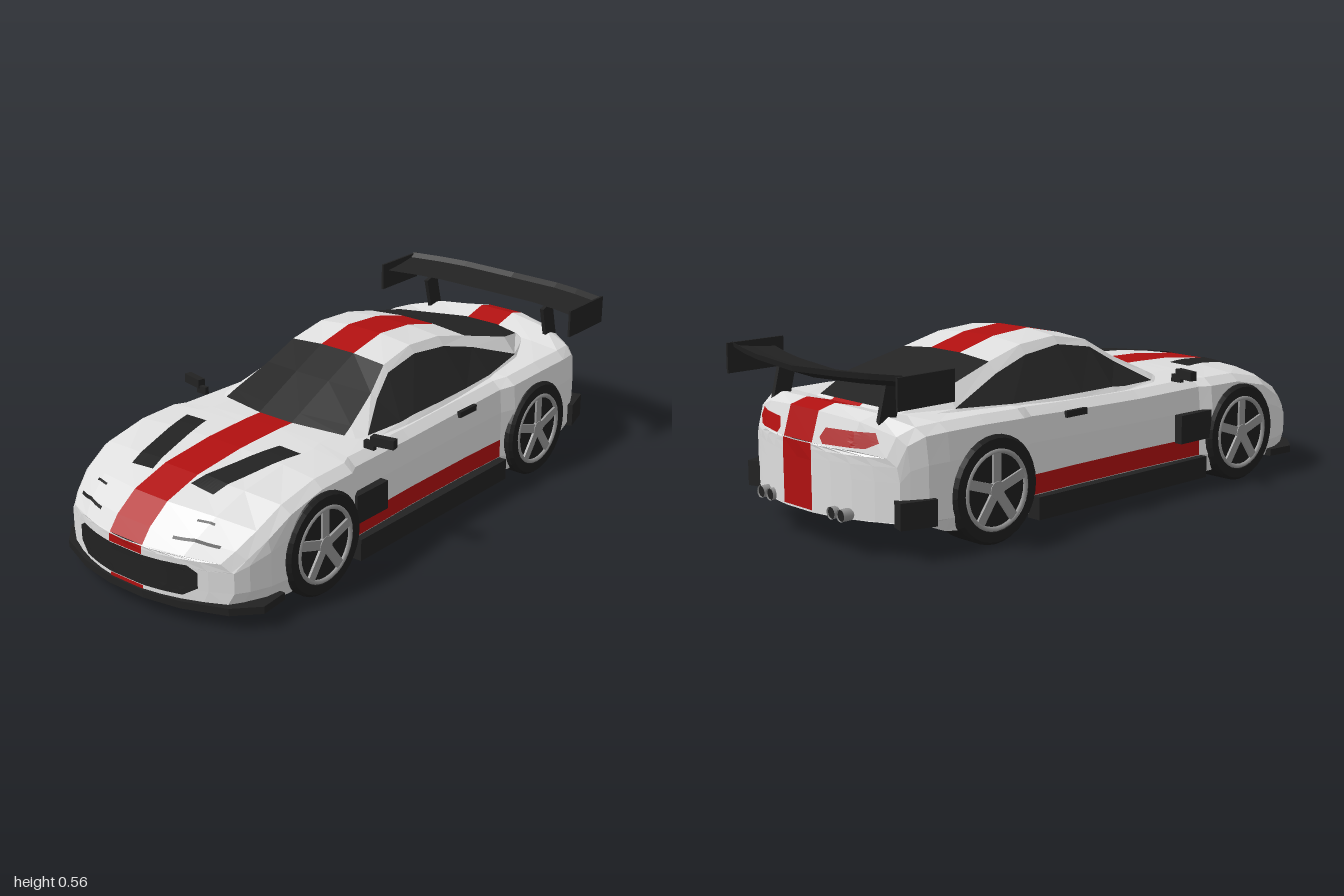
import * as THREE from 'three';

const mat = (name, color) => new THREE.MeshStandardMaterial({ name, color, side: THREE.DoubleSide });
const M = {
  white: mat('whitePaint', 0xdedede), red: mat('redPaint', 0xb01010),
  black: mat('blackTrim', 0x222222), glass: mat('darkGlass', 0x242424),
  tyre: mat('tyreRubber', 0x1e1e1e), metal: mat('wheelMetal', 0x969696),
};
const lerp = THREE.MathUtils.lerp;

const mesh = (name, geometry, material, parent, x = 0, y = 0, z = 0) => {
  const m = new THREE.Mesh(geometry, material);
  m.name = name;
  m.position.set(x, y, z);
  parent.add(m);
  return m;
};
const box = (name, material, parent, [w, h, d], [x, y, z]) =>
  mesh(name, new THREE.BoxGeometry(w, h, d), material, parent, x, y, z);

// Faceted skin over rows of points; one mesh per colour
function skin(name, rows, colourAt, parent) {
  const lists = new Map();
  for (let i = 0; i < rows.length - 1; i++) {
    for (let j = 0; j < rows[0].length - 1; j++) {
      const a = rows[i][j], b = rows[i][j + 1], c = rows[i + 1][j + 1], d = rows[i + 1][j];
      const m = colourAt(i, j);
      if (!lists.has(m)) lists.set(m, []);
      for (const p of [a, d, c, a, c, b]) lists.get(m).push(p.x, p.y, p.z);
    }
  }
  for (const [m, list] of lists) {
    const g = new THREE.BufferGeometry();
    g.setAttribute('position', new THREE.Float32BufferAttribute(list, 3));
    g.computeVertexNormals();
    mesh(name + '_' + m.name, g, m, parent);
  }
}

// Mirror a half section and bow it towards the ends of the car
const section = (half, z, bow) => [...half, ...half.map(([x, y]) => [-x, y]).reverse()]
  .map(([x, y]) => new THREE.Vector3(x, y, z - bow * x * x));

function makeBody(parent) {
  const body = new THREE.Group();
  body.name = 'body';
  parent.add(body);
  // z, half width, bottom, shoulder height, centre height
  const stations = [
    [0.99, 0.34, 0.07, 0.205, 0.22], [0.955, 0.365, 0.07, 0.238, 0.265], [0.88, 0.39, 0.06, 0.285, 0.32],
    [0.75, 0.4, 0.05, 0.335, 0.36], [0.56, 0.4, 0.05, 0.365, 0.382], [0.42, 0.4, 0.05, 0.368, 0.387],
    [0.38, 0.378, 0.05, 0.368, 0.388], [0.1, 0.37, 0.05, 0.365, 0.385], [-0.2, 0.37, 0.05, 0.372, 0.385],
    [-0.39, 0.375, 0.05, 0.38, 0.385], [-0.44, 0.398, 0.05, 0.385, 0.382], [-0.6, 0.4, 0.05, 0.39, 0.385],
    [-0.78, 0.398, 0.07, 0.39, 0.395], [-0.9, 0.385, 0.1, 0.385, 0.425], [-0.96, 0.36, 0.1, 0.36, 0.41],
    [-0.988, 0.345, 0.11, 0.3, 0.32],
  ];
  const bowAt = (z) => 0.9 * (z > 0 ? Math.max(0, (z - 0.6) / 0.4) : -Math.max(0, (-z - 0.7) / 0.3));
  const halfAt = ([, w, yb, ys, yc]) => [
    [w - 0.02, yb], [w, 0.112], [w, 0.175], [w, lerp(0.175, ys - 0.025, 0.55)],
    [w * 0.98, ys - 0.025], [w * 0.9, ys], [w * 0.6, lerp(ys, yc, 0.7)], [0.068, yc],
  ];
  const rows = stations.map((s) => {
    const r = section(halfAt(s), s[0], bowAt(s[0]));
    return [...r, r[0]];
  });
  skin('shell', rows, (i, j) => {
    if (j === 15) return M.black; // floor
    if (j === 7) return M.red; // centre stripe
    return (j === 1 || j === 13) && i >= 6 && i <= 8 ? M.red : M.white; // sill stripes
  }, body);
  // Nose and tail faces
  for (const s of [stations[0], stations[stations.length - 1]]) {
    const sign = Math.sign(s[0]);
    const cap = halfAt(s).map(([x, y]) => [1, 0.8, 0.6, 0.4, 0.2, -0.2, -0.4, -0.6, -0.8, -1]
      .map((t) => new THREE.Vector3(x * t * sign, y, s[0] - bowAt(s[0]) * (x * t) ** 2)));
    skin(sign > 0 ? 'nose' : 'tail', cap, () => M.white, body);
  }
  return body;
}

function makeCabin(parent) {
  const cabin = new THREE.Group();
  cabin.name = 'cabin';
  parent.add(cabin);
  // z, sill x, sill y, roof edge x, roof edge y, centre y, window bottom and top along the side
  const stations = [
    [0.33, 0.31, 0.36, 0.25, 0.382, 0.389, 0.4, 0.4], [0.29, 0.318, 0.365, 0.245, 0.4, 0.408, 0.3, 0.3],
    [0.15, 0.325, 0.366, 0.218, 0.462, 0.475, 0.12, 0.82], [0.02, 0.328, 0.368, 0.192, 0.523, 0.533, 0.1, 0.86],
    [-0.12, 0.328, 0.37, 0.188, 0.55, 0.563, 0.08, 0.86], [-0.27, 0.325, 0.372, 0.192, 0.54, 0.552, 0.08, 0.82],
    [-0.41, 0.32, 0.375, 0.202, 0.504, 0.516, 0.1, 0.74], [-0.61, 0.29, 0.378, 0.228, 0.45, 0.462, 0.25, 0.27],
    [-0.8, 0.24, 0.38, 0.165, 0.403, 0.409, 0.5, 0.5], [-0.84, 0.22, 0.375, 0.15, 0.385, 0.385, 0.5, 0.5],
  ];
  const rows = stations.map(([z, sx, sy, ex, ey, yc, b, t]) => section([
    [sx, sy], [lerp(sx, ex, b), lerp(sy, ey, b)], [lerp(sx, ex, t), lerp(sy, ey, t)], [ex, ey], [0.068, yc],
  ], z, z > 0.1 ? 0.7 : z < -0.7 ? -0.9 : 0));
  skin('cabin', rows, (i, j) => {
    const k = Math.min(j, 8 - j);
    if (k === 1) return i >= 1 && i <= 6 ? M.glass : M.white; // side windows
    if (k >= 3 && (i <= 2 || i === 6 || i === 7)) return M.glass; // windscreen, rear window
    return k === 4 ? M.red : M.white;
  }, cabin);
}

// Thin painted panel laid on the body; rows are [v, x from, x to, bow], axis is y or the side along z
function drape(name, material, body, parent, axis, list, n = 8, sub = 6) {
  const dir = axis === 'y' ? new THREE.Vector3(0, 1, 0) : new THREE.Vector3(0, 0, axis);
  const ray = new THREE.Raycaster();
  const project = (x, v) => {
    const from = axis === 'y' ? new THREE.Vector3(x, 3, v) : new THREE.Vector3(x, v, 3 * axis);
    ray.set(from, dir.clone().negate());
    const hit = ray.intersectObject(body, true)[0];
    return (hit ? hit.point : from.setComponent(axis === 'y' ? 1 : 2, 0)).clone().addScaledVector(dir, 0.005);
  };
  const rows = [];
  for (let i = 0; i <= (list.length - 1) * sub; i++) {
    const k = Math.min(Math.floor(i / sub), list.length - 2), t = i / sub - k;
    const [v, a, b, bow = 0] = list[k].map((q, m) => lerp(q, list[k + 1][m], t));
    rows.push(Array.from({ length: n + 1 }, (_, j) => {
      const x = lerp(a, b, j / n);
      return project(x, v - bow * x * x);
    }));
  }
  const p = rows[0][0];
  const normal = rows[1][0].clone().sub(p).cross(rows[0][1].clone().sub(p));
  if (normal.dot(dir) < 0) rows.reverse();
  skin(name, rows, () => material, parent);
}

function makeWheel(parent, side, z) {
  const wheel = new THREE.Group();
  wheel.name = (z > 0 ? 'front' : 'rear') + (side > 0 ? 'Left' : 'Right') + 'Wheel';
  wheel.position.set(0.35 * side, 0.166, z);
  wheel.rotation.y = side * Math.PI / 2;
  const profile = [[0, -0.058], [0.15, -0.058], [0.166, -0.045], [0.166, 0.05], [0.157, 0.061],
    [0.126, 0.061], [0.122, 0.053], [0, 0.053]].map(([r, h]) => new THREE.Vector2(r, h));
  const tyre = new THREE.LatheGeometry(profile, 32).toNonIndexed();
  tyre.computeVertexNormals();
  tyre.rotateX(Math.PI / 2);
  mesh('tyre', tyre, M.tyre, wheel);
  mesh('rim', new THREE.TorusGeometry(0.118, 0.008, 6, 32), M.metal, wheel, 0, 0, 0.056);
  const hub = new THREE.CylinderGeometry(0.028, 0.03, 0.012, 12).rotateX(Math.PI / 2);
  mesh('hub', hub, M.metal, wheel, 0, 0, 0.057);
  for (let i = 0; i < 5; i++) {
    const spoke = new THREE.BoxGeometry(0.03, 0.1, 0.008).translate(0, 0.067, 0.057);
    mesh('spoke', spoke, M.metal, wheel).rotation.z = i * Math.PI * 2 / 5;
  }
  parent.add(wheel);
}

function makeWing(parent) {
  const wing = new THREE.Group();
  wing.name = 'rearWing';
  parent.add(wing);
  const profile = [[0, 0], [-0.08, 0.008], [-0.14, 0.018], [-0.16, 0.032], [-0.155, 0.014], [-0.08, -0.014], [0, 0]];
  const rows = [-0.41, -0.3, -0.2, 0, 0.2, 0.3, 0.41].map((x) => {
    const t = Math.abs(x) / 0.41;
    return profile.map(([z, y]) => new THREE.Vector3(x, 0.508 + 0.014 * t + y, -0.84 + 0.075 * t * t + z));
  });
  skin('blade', rows, () => M.black, wing);
  for (const s of [-1, 1]) {
    box('endPlate', M.black, wing, [0.008, 0.095, 0.21], [s * 0.41, 0.503, -0.84]);
    box('strut', M.black, wing, [0.014, 0.14, 0.06], [s * 0.255, 0.445, -0.845]).rotation.x = 0.25;
  }
}

export function createModel() {
  const car = new THREE.Group();
  car.name = 'sportsCar';
  const body = makeBody(car);
  makeCabin(car);
  makeWing(car);

  // Nose and tail paint
  drape('grille', M.black, body, car, 1,
    [[0.092, -0.2, 0.2], [0.12, -0.245, 0.245], [0.17, -0.245, 0.245], [0.19, -0.215, 0.215]], 16, 2);
  drape('noseStripe', M.red, body, car, 1, [[0.192, -0.068, 0.068], [0.218, -0.068, 0.068]], 2, 2);
  drape('lipStripe', M.red, body, car, 1, [[0.078, -0.068, 0.068], [0.09, -0.068, 0.068]], 2, 2);
  drape('tailStripe', M.red, body, car, -1, [[0.118, -0.068, 0.068], [0.318, -0.068, 0.068]], 2, 4);

  for (const s of [-1, 1]) {
    drape('bonnetVent', M.black, body, car, 'y', [[0.79, s * 0.08, s * 0.17], [0.48, s * 0.155, s * 0.24]]);
    drape('headlightSeam', M.black, body, car, 'y',
      [[0.963, s * 0.15, s * 0.29, 0.85], [0.957, s * 0.15, s * 0.29, 0.85]], 8, 1);
    drape('headlightBrow', M.black, body, car, 'y',
      [[0.906, s * 0.19, s * 0.245, 0.68], [0.9, s * 0.19, s * 0.245, 0.68]], 4, 1);
    drape('tailLamp', M.red, body, car, -1,
      [[0.322, s * 0.11, s * 0.25], [0.34, s * 0.095, s * 0.285], [0.368, s * 0.11, s * 0.27]], 8, 3);

    // Side trim
    box('sideSkirt', M.black, car, [0.05, 0.072, 0.78], [s * 0.378, 0.074, 0]);
    box('fenderVent', M.black, car, [0.045, 0.095, 0.15], [s * 0.381, 0.218, 0.335]);
    box('rearBumperCorner', M.black, car, [0.05, 0.08, 0.115], [s * 0.365, 0.14, -0.845]).rotation.y = s * 0.3;
    box('doorHandle', M.black, car, [0.014, 0.02, 0.09], [s * 0.368, 0.34, -0.2]);
    box('mirror', M.black, car, [0.08, 0.03, 0.025], [s * 0.4, 0.4, 0.28]).rotation.y = s * 0.2;
    box('mirrorStalk', M.black, car, [0.04, 0.025, 0.015], [s * 0.355, 0.382, 0.29]);

    // Twin exhaust pipes
    for (const x of [0.15, 0.195]) {
      const pipe = new THREE.CylinderGeometry(0.019, 0.019, 0.07, 12, 1, true).rotateX(Math.PI / 2);
      mesh('exhaustPipe', pipe, M.metal, car, s * x, 0.125, -0.95);
      mesh('exhaustBore', new THREE.CircleGeometry(0.018, 12).rotateY(Math.PI), M.black, car, s * x, 0.125, -0.98);
    }
    for (const z of [0.565, -0.57]) makeWheel(car, s, z);
  }

  // Front splitter
  const half = [[0.4, 0.74], [0.41, 0.84], [0.34, 0.915], [0.2, 0.972], [0.07, 0.995]];
  const plan = new THREE.Shape([...half, ...half.map(([x, z]) => [-x, z]).reverse()].map(([x, z]) => new THREE.Vector2(x, z)));
  const splitter = new THREE.ExtrudeGeometry(plan, { depth: 0.024, bevelEnabled: false }).rotateX(Math.PI / 2);
  mesh('frontSplitter', splitter, M.black, car, 0, 0.076, 0);
  return car;
}
